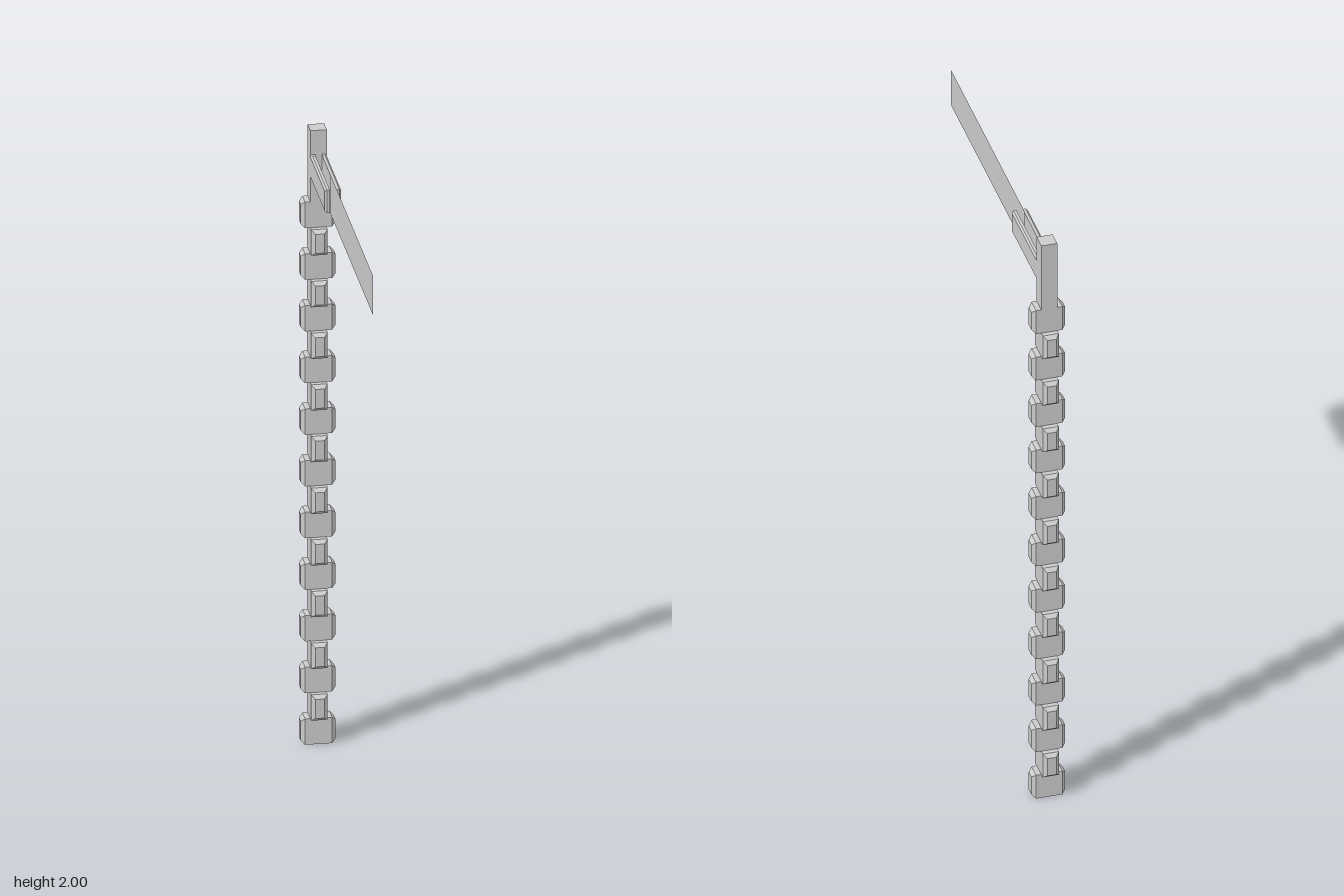
import * as THREE from 'three';

const material = new THREE.MeshStandardMaterial({ color: 0xcccccc, flatShading: true });
const sheetMaterial = new THREE.MeshStandardMaterial({ color: 0xcccccc, side: THREE.DoubleSide });

const POLE_Z = -0.487;
const HALF = 0.025; // half width of the pole
const SEGMENTS = 21;
const STEP = 1.768 / SEGMENTS;

function add(parent, geometry, name, mat = material) {
  const mesh = new THREE.Mesh(geometry, mat);
  mesh.name = name;
  parent.add(mesh);
  return mesh;
}

// Block lying along x whose two ends taper to a smaller face
function knobGeometry() {
  const geometry = new THREE.BoxGeometry(3, STEP, HALF * 2, 3, 1, 1);
  const p = geometry.attributes.position;
  for (let i = 0; i < p.count; i++) {
    const x = p.getX(i);
    const end = Math.abs(x) > 1;
    const inset = end ? 0.011 : 0;
    p.setXYZ(i,
      Math.sign(x) * (end ? 0.053 : 0.041),
      Math.sign(p.getY(i)) * (STEP / 2 - inset),
      Math.sign(p.getZ(i)) * (HALF - inset));
  }
  geometry.computeVertexNormals();
  return geometry;
}

// Bar reaching forward, flared at the pole, chamfered around its outer face
function prongGeometry() {
  const tip = 0.193, root = 0.468, h = 0.037;
  const shape = new THREE.Shape([
    [tip, -h], [root - 0.01, -h], [root, -h - 0.008],
    [root, h + 0.008], [root - 0.01, h], [tip, h],
  ].map(([u, v]) => new THREE.Vector2(u, v)));
  const geometry = new THREE.ExtrudeGeometry(shape, { depth: 2, steps: 2, bevelEnabled: false });
  const p = geometry.attributes.position;
  const levels = [0.01, 0.019, HALF];
  for (let i = 0; i < p.count; i++) {
    const level = Math.round(p.getZ(i));
    p.setZ(i, levels[level]);
    if (level === 2) {
      p.setY(i, p.getY(i) - Math.sign(p.getY(i)) * 0.005);
      if (p.getX(i) < 0.2) p.setX(i, p.getX(i) + 0.006);
    }
  }
  geometry.rotateY(Math.PI / 2);
  geometry.computeVertexNormals();
  return geometry;
}

export function createModel() {
  const model = new THREE.Group();
  model.name = 'poleWithBlade';

  // Stacked grip blocks, each turned a quarter from the one below
  const pole = new THREE.Group();
  pole.name = 'pole';
  pole.position.z = POLE_Z;
  model.add(pole);
  const knob = knobGeometry();
  for (let i = 0; i < SEGMENTS; i++) {
    const mesh = add(pole, knob, 'poleBlock');
    mesh.position.y = (i + 0.5) * STEP;
    mesh.rotation.y = i % 2 ? Math.PI / 2 : 0;
  }

  // Plain square head
  const head = add(pole, new THREE.BoxGeometry(HALF * 2, 2 - 1.768, HALF * 2), 'poleHead');
  head.position.y = (2 + 1.768) / 2;

  // Pair of prongs clamping the blade
  const fork = new THREE.Group();
  fork.name = 'fork';
  fork.position.y = 1.882;
  model.add(fork);
  const prong = prongGeometry();
  add(fork, prong, 'leftProng');
  add(fork, prong, 'rightProng').rotation.z = Math.PI;

  // Thin flat blade held between the prongs
  const blade = add(model, new THREE.PlaneGeometry(0.786, 0.128), 'blade', sheetMaterial);
  blade.rotation.y = Math.PI / 2;
  blade.position.set(0, 1.884, 0.147);

  return model;
}
